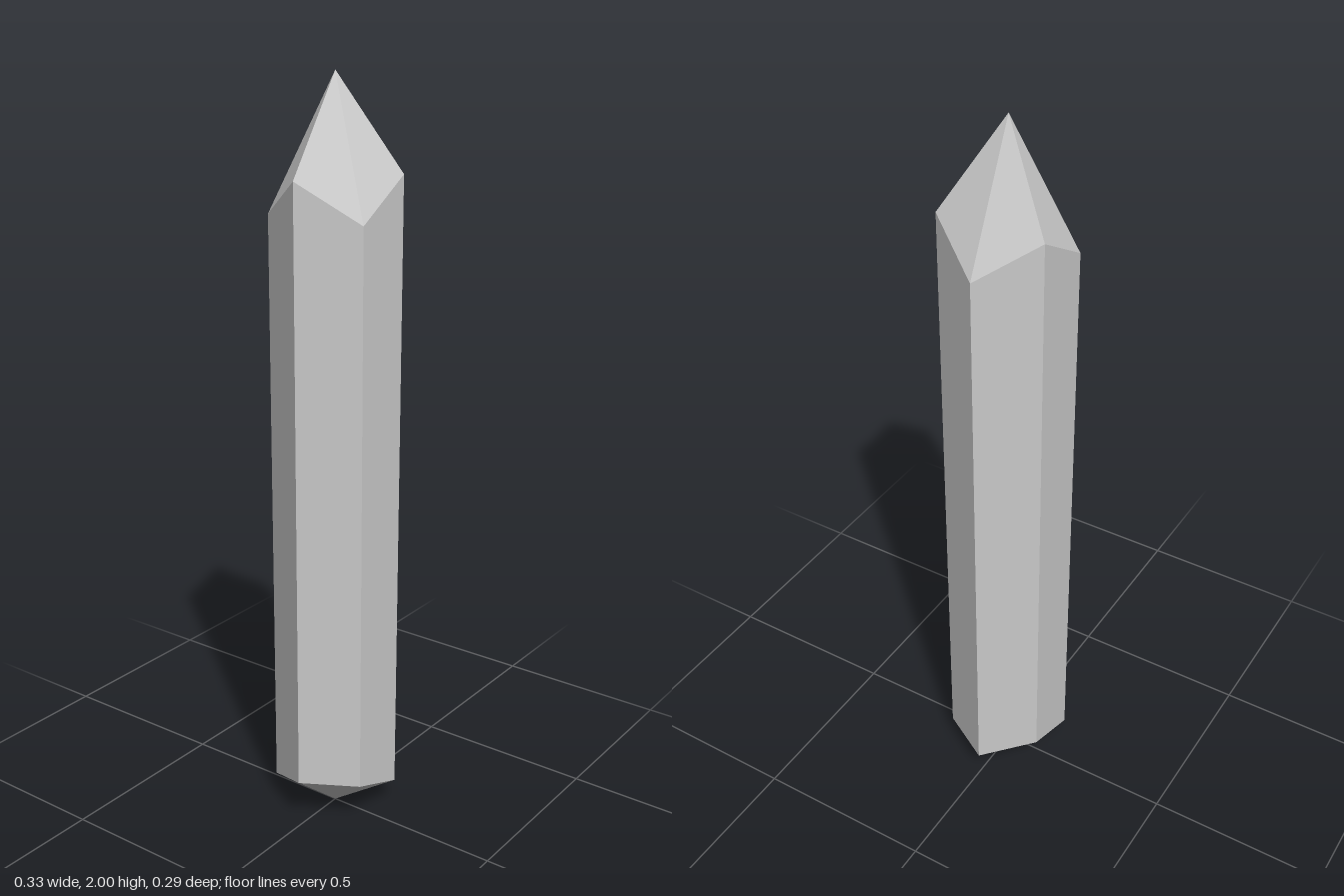
import * as THREE from 'three';

const SIDES = 6;
const RADIUS = 0.167;
// Corner heights, starting at +x and turning towards +z
const TOP = [1.655, 1.757, 1.655, 1.757, 1.655, 1.757];
const BOTTOM = [0.073, 0.073, 0.135, 0.135, 0.073, 0.135];

function corner(i, heights) {
  const k = i % SIDES;
  const a = (k / SIDES) * Math.PI * 2;
  return [RADIUS * Math.cos(a), heights[k], RADIUS * Math.sin(a)];
}

// Makes one flat-shaded mesh from a rule giving the triangle corners of each side
function facets(name, material, rule) {
  const positions = [];
  for (let i = 0; i < SIDES; i++) positions.push(...rule(i).flat());
  const geometry = new THREE.BufferGeometry();
  geometry.setAttribute('position', new THREE.Float32BufferAttribute(positions, 3));
  geometry.computeVertexNormals();
  const mesh = new THREE.Mesh(geometry, material);
  mesh.name = name;
  return mesh;
}

export function createModel() {
  const group = new THREE.Group();
  group.name = 'crystal';
  const material = new THREE.MeshStandardMaterial({ color: 0xcccccc, flatShading: true });

  const top = (i) => corner(i, TOP);
  const bottom = (i) => corner(i, BOTTOM);

  // Six-sided shaft with uneven ends
  group.add(facets('shaft', material, (i) => [
    bottom(i + 1), bottom(i), top(i),
    bottom(i + 1), top(i), top(i + 1),
  ]));
  // Long upper point
  group.add(facets('upperPoint', material, (i) => [top(i + 1), top(i), [0, 2, 0]]));
  // Blunt lower point
  group.add(facets('lowerPoint', material, (i) => [bottom(i), bottom(i + 1), [0, 0, 0]]));

  return group;
}
